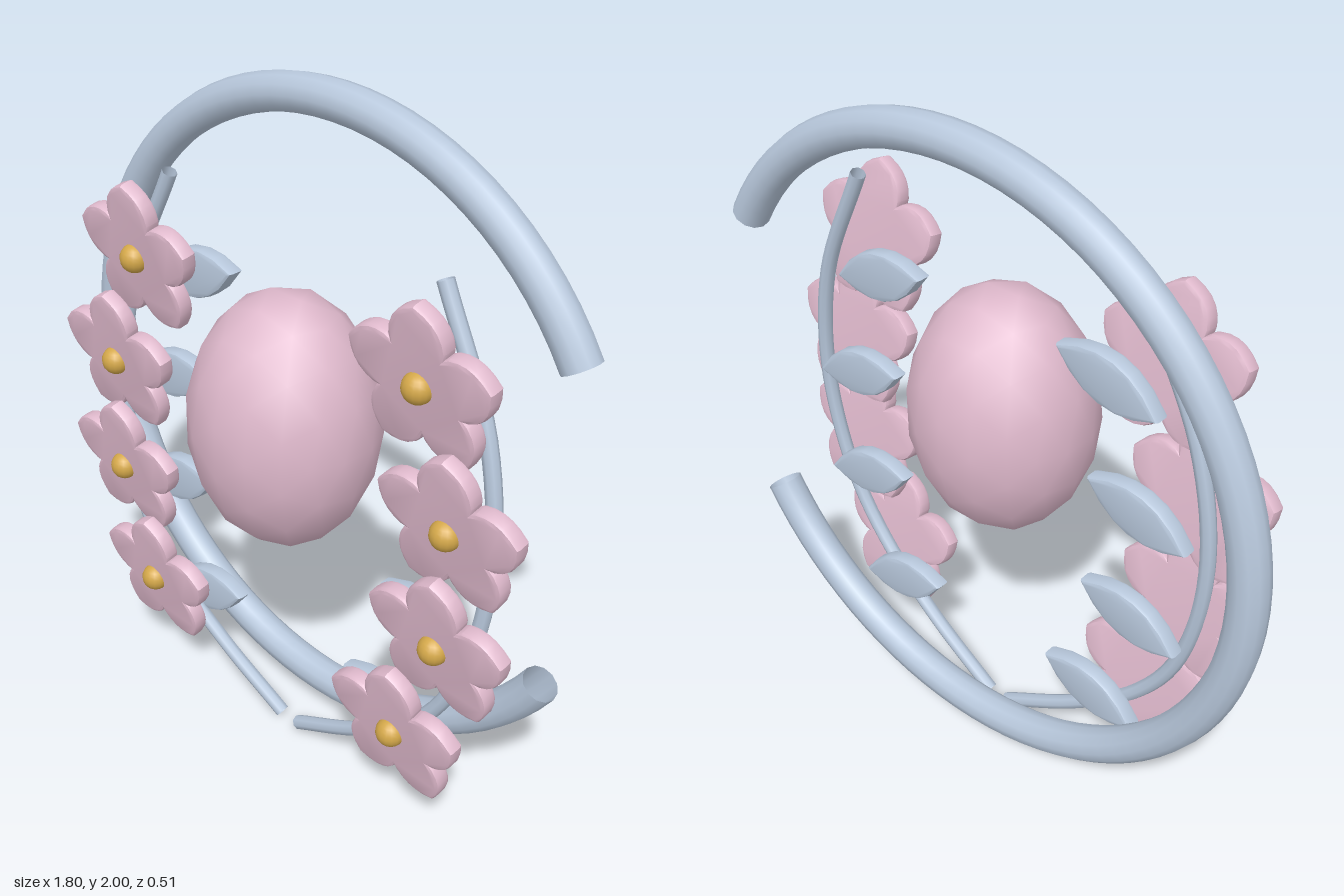
import * as THREE from 'three';
import { toCreasedNormals } from 'three/addons/utils/BufferGeometryUtils.js';

const AXIS = 0.06; // x of the wreath's mirror line

function named(geometry, material, name, x = 0, y = 0, z = 0) {
  const mesh = new THREE.Mesh(geometry, material);
  mesh.name = name;
  mesh.position.set(x, y, z);
  return mesh;
}

// Bevelled plate centred on z = 0
function plate(shape, thickness, bevel) {
  const depth = thickness - 2 * bevel;
  const geometry = new THREE.ExtrudeGeometry(shape, {
    depth, bevelThickness: bevel, bevelSize: bevel, bevelSegments: 2, curveSegments: 6,
  });
  geometry.translate(0, 0, -depth / 2);
  return toCreasedNormals(geometry, 0.5);
}

// Five pointed petals with bulging sides
function flowerShape() {
  const polar = (degrees, r) => {
    const a = THREE.MathUtils.degToRad(degrees);
    return [r * Math.cos(a), r * Math.sin(a)];
  };
  const shape = new THREE.Shape();
  shape.moveTo(...polar(54, 0.122));
  for (let i = 0; i < 5; i++) {
    const tip = 90 + i * 72;
    shape.quadraticCurveTo(...polar(tip - 25, 0.205), ...polar(tip, 0.215));
    shape.quadraticCurveTo(...polar(tip + 25, 0.205), ...polar(tip + 36, 0.122));
  }
  return shape;
}

// Lens outline lying along x
function leafShape() {
  const shape = new THREE.Shape();
  shape.moveTo(-0.152, 0);
  shape.quadraticCurveTo(0, -0.124, 0.152, 0);
  shape.quadraticCurveTo(0, 0.124, -0.152, 0);
  return shape;
}

export function createModel() {
  const blue = new THREE.MeshStandardMaterial({ color: 0xb8c8dc, side: THREE.DoubleSide });
  blue.name = 'pale blue';
  const pink = new THREE.MeshStandardMaterial({ color: 0xdfb9cc });
  pink.name = 'soft pink';
  const gold = new THREE.MeshStandardMaterial({ color: 0xd4a84a });
  gold.name = 'gold';

  const model = new THREE.Group();
  model.name = 'flowerWreath';

  // Open ring with its gap on the +x side
  const gap = THREE.MathUtils.degToRad(31);
  const ringGeometry = new THREE.TorusGeometry(0.914, 0.053, 12, 72, 2 * (Math.PI - gap));
  ringGeometry.rotateZ(gap);
  model.add(named(ringGeometry, blue, 'ring', AXIS, 1.032, -0.17));

  // Oval gem in the middle
  const gemGeometry = new THREE.IcosahedronGeometry(1, 2);
  gemGeometry.scale(0.275, 0.376, 0.262);
  model.add(named(gemGeometry, pink, 'gem', AXIS, 1.11, 0));

  const flowerGeometry = plate(flowerShape(), 0.05, 0.011);
  const leafGeometry = plate(leafShape(), 0.052, 0.011);
  const budGeometry = new THREE.SphereGeometry(0.042, 16, 12);

  // Stem path and flower places, as distances from the mirror line
  const stemPath = [
    [0.035, 0.022, -0.036], [0.29, 0.175, -0.02], [0.5, 0.35, -0.005], [0.63, 0.56, -0.004],
    [0.7, 0.92, -0.015], [0.65, 1.3, -0.028], [0.48, 1.668, -0.036],
  ];
  const flowerPlaces = [[0.51, 1.44], [0.622, 1.08], [0.612, 0.72], [0.49, 0.36]];

  for (const s of [-1, 1]) {
    const branch = new THREE.Group();
    branch.name = s > 0 ? 'leftBranch' : 'rightBranch';
    branch.position.x = AXIS;
    model.add(branch);

    const curve = new THREE.CatmullRomCurve3(stemPath.map(([x, y, z]) => new THREE.Vector3(s * x, y, z)));
    branch.add(named(new THREE.TubeGeometry(curve, 40, 0.022, 8), blue, 'stem'));

    for (const [x, y] of flowerPlaces) {
      // Flower leans forward at the top
      const flower = named(flowerGeometry, pink, 'flower', s * x, y, 0.053);
      flower.rotation.x = 0.175;
      branch.add(flower);
      branch.add(named(budGeometry, gold, 'flowerCentre', s * x, y, 0.076));

      // Leaf points inward and slightly up
      const leaf = named(leafGeometry, blue, 'leaf', s * (x - 0.115), y - 0.043, -0.05);
      leaf.rotation.z = -s * 0.29;
      branch.add(leaf);
    }
  }
  return model;
}
